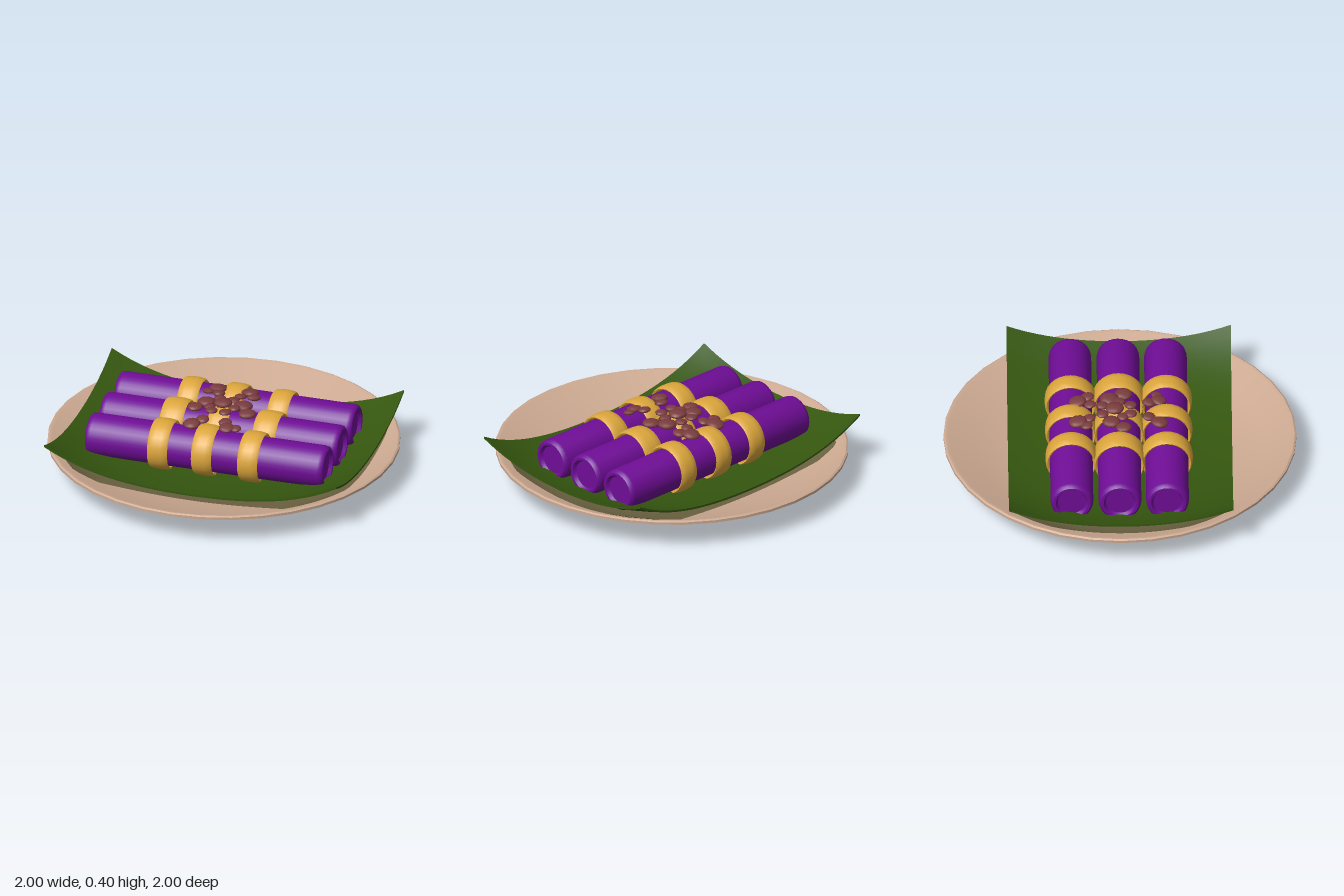
import * as THREE from 'three';
import { toCreasedNormals } from 'three/addons/utils/BufferGeometryUtils.js';

const mat = (name, color, extra = {}) => {
  const m = new THREE.MeshStandardMaterial({ color, ...extra });
  m.name = name;
  return m;
};

export function createModel() {
  const group = new THREE.Group();
  const clay = mat('clay', 0xcdaa92);
  const green = mat('leaf green', 0x35570f);
  const olive = mat('olive stain', 0x6b6240, { side: THREE.DoubleSide });
  const purple = mat('purple', 0x6f0d96);
  const gold = mat('gold', 0xdca63c);
  const brown = mat('red brown', 0x7a3c3e);

  const add = (name, geometry, material, x = 0, y = 0, z = 0, parent = group) => {
    const mesh = new THREE.Mesh(geometry, material);
    mesh.name = name;
    mesh.position.set(x, y, z);
    parent.add(mesh);
    return mesh;
  };
  const lathe = (pts, segments, crease = 0.6) =>
    toCreasedNormals(new THREE.LatheGeometry(pts.map(p => new THREE.Vector2(...p)), segments), crease);

  // Plate: shallow dish with a thin rim
  const dish = [[0.97, 0.181], [0.83, 0.105], [0.45, 0.05], [0, 0.045]];
  add('plate', lathe([[0, 0.005], [0.42, 0.01], [0.82, 0.08], [1, 0.163], [1, 0.178], [0.99, 0.184], ...dish], 36), clay);

  const dishHeight = r => {
    for (let i = 0; i < dish.length - 1; i++) {
      const [r1, y1] = dish[i], [r0, y0] = dish[i + 1];
      if (r >= r0) return y0 + (y1 - y0) * (r - r0) / (r1 - r0);
    }
    return dish[dish.length - 1][1];
  };
  const moveVertices = (geometry, rule) => {
    const p = geometry.attributes.position, v = new THREE.Vector3();
    for (let i = 0; i < p.count; i++) {
      rule(v.fromBufferAttribute(p, i));
      p.setXYZ(i, v.x, v.y, v.z);
    }
    geometry.computeVertexNormals();
    return geometry;
  };

  // Stain on the plate beneath the leaf
  const stain = new THREE.PlaneGeometry(1.7, 1.24, 28, 22).rotateX(-Math.PI / 2);
  add('leafStain', moveVertices(stain, v => {
    const r = Math.hypot(v.x, v.z), k = Math.min(1, 0.93 / Math.max(r, 0.01));
    v.x *= k;
    v.z *= k;
    v.y = dishHeight(r * k) + 0.005;
  }), olive);

  // Leaf: a sheet whose corners curl upward
  add('leaf', moveVertices(new THREE.BoxGeometry(1.735, 0.012, 1.27, 28, 1, 22), v => {
    v.y += 0.09 + 0.205 * Math.pow(Math.hypot(v.x, v.z) / 1.07, 3.6);
  }), green);

  // Three rolls with recessed ends, each held by three bands
  const half = 0.705, radius = 0.121;
  const rollEnd = [[0, half - 0.02], [0.08, half - 0.02], [0.092, half], [0.106, half], [0.117, half - 0.01], [radius, half - 0.03]];
  const rollGeo = lathe([...rollEnd.map(([r, y]) => [r, -y]), ...rollEnd.slice().reverse()], 28, 0.7).rotateZ(-Math.PI / 2);
  const bandGeo = lathe([[0.128, -0.055], [0.136, -0.06], [0.143, -0.05], [0.147, -0.02], [0.147, 0.02],
    [0.143, 0.05], [0.136, 0.06], [0.128, 0.055], [0.128, -0.055]], 28, 0.8).rotateZ(-Math.PI / 2);
  [-0.278, -0.006, 0.263].forEach((z, row) => {
    const unit = new THREE.Group();
    unit.name = 'bandedRoll' + (row + 1);
    unit.position.set(0, 0.226, z);
    group.add(unit);
    add('roll', rollGeo, purple, -0.004, 0, 0, unit);
    [-0.272, -0.011, 0.263].forEach((x, i) => {
      const wide = row === 1 && i !== 1;
      add('band', bandGeo, gold, x + (wide ? Math.sign(x) * 0.008 : 0), 0, 0, unit).scale.x = wide ? 1.15 : 1;
    });
  });

  // Flattened topping pieces: x, z, radius, height
  const beadGeo = new THREE.IcosahedronGeometry(1, 1);
  const beads = [
    [-0.11, -0.24, 0.054, 0.358], [-0.15, -0.19, 0.036, 0.36], [-0.085, -0.175, 0.037, 0.362],
    [0.08, -0.24, 0.052, 0.358], [0.045, -0.17, 0.035, 0.362], [0.12, -0.185, 0.04, 0.36],
    [-0.015, -0.03, 0.054, 0.382], [-0.12, -0.05, 0.052, 0.364], [0.095, -0.06, 0.056, 0.364],
    [0.145, 0.02, 0.052, 0.36], [-0.165, 0.02, 0.046, 0.358], [-0.055, -0.1, 0.036, 0.37],
    [0.025, -0.1, 0.036, 0.37], [-0.055, 0.06, 0.036, 0.372], [0.025, 0.06, 0.036, 0.372],
    [0.06, -0.005, 0.036, 0.372], [-0.08, 0.015, 0.034, 0.37],
    [-0.12, 0.225, 0.05, 0.358], [-0.075, 0.165, 0.039, 0.364], [0.06, 0.165, 0.039, 0.364],
    [0.085, 0.22, 0.045, 0.36], [0.135, 0.21, 0.033, 0.358],
  ];
  beads.forEach(([x, z, r, y], i) => {
    const bead = add('toppingPiece', beadGeo, brown, x, y, z);
    bead.scale.set(r, r * 0.4, r);
    bead.rotation.set(z > 0.1 ? 0.15 : z < -0.13 ? -0.15 : 0, i * 1.3, 0);
  });
  return group;
}
